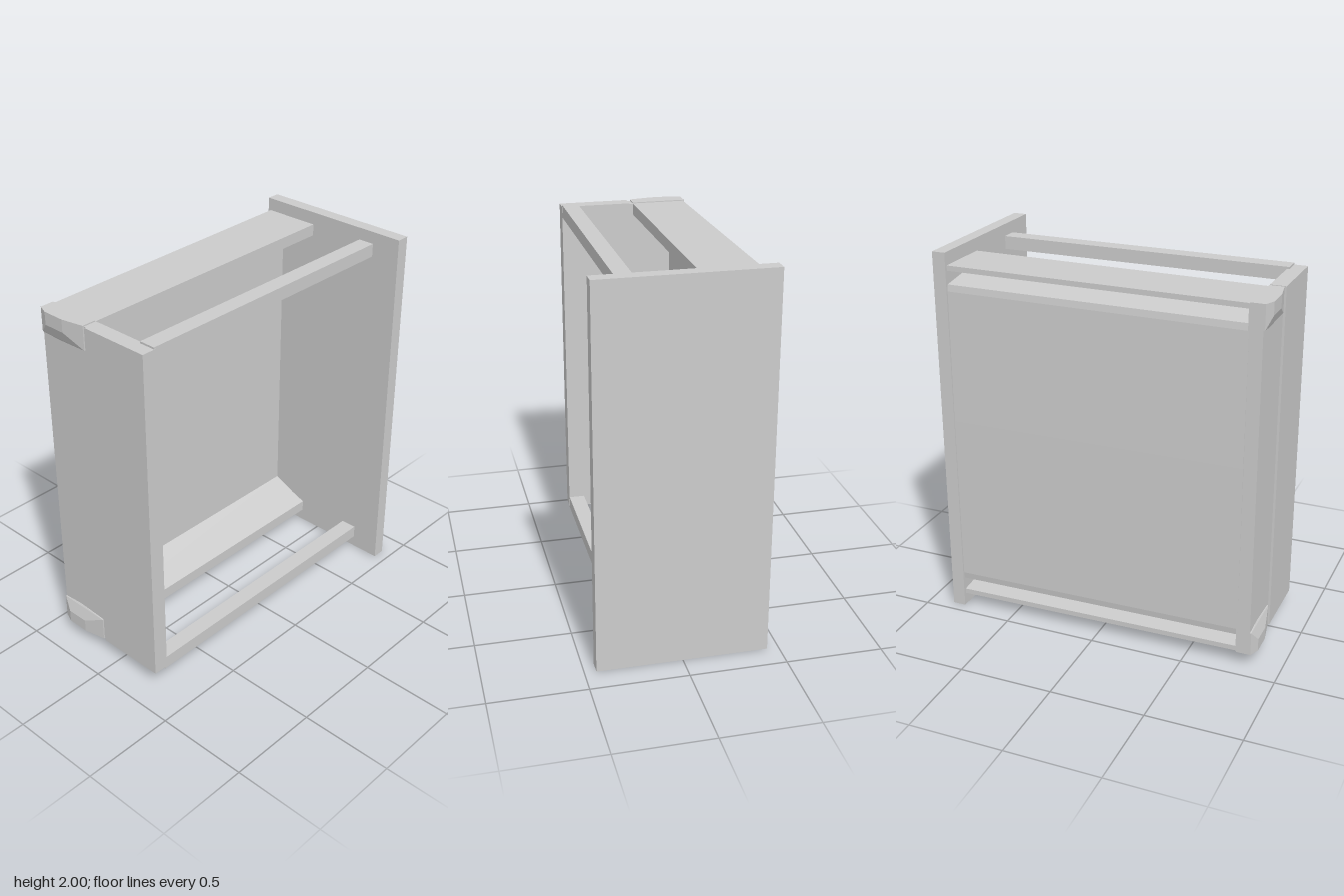
import * as THREE from 'three';
import { ConvexGeometry } from 'three/addons/geometries/ConvexGeometry.js';

const material = new THREE.MeshStandardMaterial({ color: 0xcccccc, flatShading: true });

// The drawer rests on its side: x runs from back wall to front panel, y across its width.
export function createModel() {
  const model = new THREE.Group();
  const add = (name, geometry) => {
    const mesh = new THREE.Mesh(geometry, material);
    mesh.name = name;
    model.add(mesh);
  };
  const box = (name, x0, x1, y0, y1, z0, z1) => {
    const g = new THREE.BoxGeometry(x1 - x0, y1 - y0, z1 - z0);
    add(name, g.translate((x0 + x1) / 2, (y0 + y1) / 2, (z0 + z1) / 2));
  };

  box('frontPanel', 0.795, 0.865, 0, 2, -0.44, 0.44);

  // Floor and both sides as one cross-section [z, y], with a runner groove under each side
  const half = [
    [-0.33, 0.22], [-0.2, 0.16], [-0.12, 0.13], [-0.12, 0.068], [-0.41, 0.068],
    [-0.41, 0.095], [-0.25, 0.11], [-0.25, 0.14], [-0.41, 0.165], [-0.415, 0.2],
  ];
  const mirrored = half.map(([z, y]) => [z, 2 - y]).reverse();
  const profile = [...half, [-0.42, 1.1], ...mirrored];
  const shape = new THREE.Shape(profile.map(([z, y]) => new THREE.Vector2(-z, y)));
  const tray = new THREE.ExtrudeGeometry(shape, { depth: 1.57, bevelEnabled: false });
  tray.rotateY(Math.PI / 2).translate(-0.77, 0, 0);
  // Slight taper to the back, and a floor that sags toward the front
  const p = tray.attributes.position;
  for (let i = 0; i < p.count; i++) {
    const t = (p.getX(i) + 0.77) / 1.57;
    p.setY(i, 1 + (p.getY(i) - 1) * (0.99 + 0.01 * t));
    if (p.getZ(i) < -0.4) p.setZ(i, p.getZ(i) - 0.015 * t);
  }
  tray.computeVertexNormals();
  add('floorAndSides', tray);

  // Back wall in two tiers
  box('backWallUpper', -0.85, -0.768, 0.075, 1.925, -0.1, 0.28);
  box('backWallLower', -0.838, -0.765, 0.078, 1.922, -0.415, -0.1);

  for (const side of [-1, 1]) {
    const at = (d) => 1 + side * d;
    // Top rail, from the back wall to the front panel
    const rail = new THREE.BoxGeometry(1.58, 0.07, 0.088);
    add(side > 0 ? 'upperRail' : 'lowerRail', rail.translate(0.01, at(0.9), 0.235));
    // Bevelled corner cap that tapers into the back wall
    const points = [];
    for (const [x, z] of [[-0.77, -0.415], [-0.845, -0.415], [-0.868, -0.36], [-0.868, -0.24], [-0.845, -0.12], [-0.77, -0.12]]) {
      points.push(new THREE.Vector3(x, at(0.928), z));
      points.push(new THREE.Vector3(x, at(x < -0.85 ? 0.86 : 0.8), z));
    }
    points.push(new THREE.Vector3(-0.838, at(0.79), -0.3));
    add(side > 0 ? 'upperCornerCap' : 'lowerCornerCap', new ConvexGeometry(points));
  }
  return model;
}
